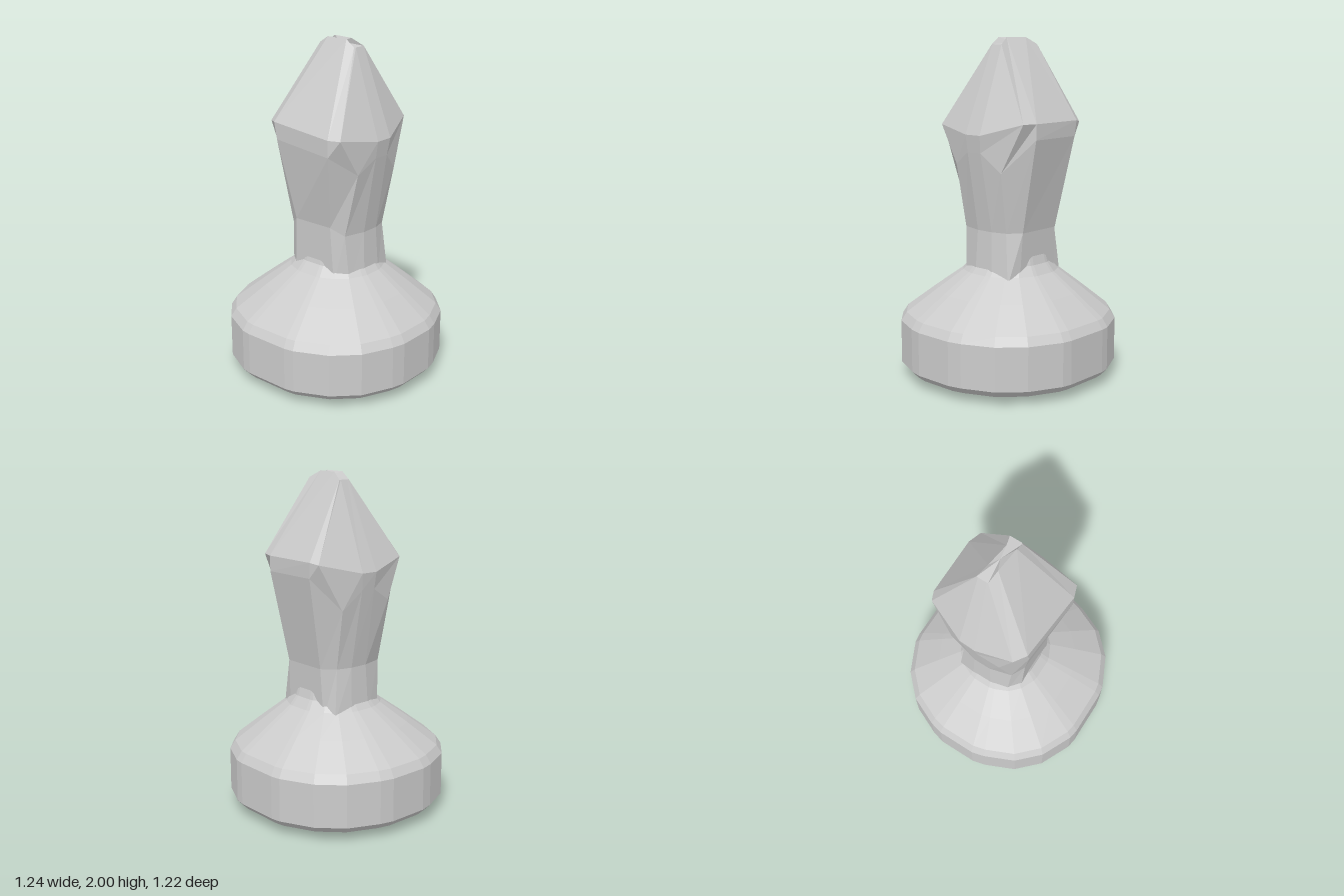
import * as THREE from 'three';

// Skin a stack of equal-length rings (bottom to top) and close both ends.
// Each ring runs from +x through +z, -x and -z.
function loft(rings) {
  const pos = [];
  const tri = (a, b, c) => pos.push(...a, ...b, ...c);
  const n = rings[0].length;
  for (let r = 0; r < rings.length - 1; r++) {
    for (let i = 0; i < n; i++) {
      const j = (i + 1) % n;
      const lo = rings[r], hi = rings[r + 1];
      tri(lo[i], hi[i], lo[j]);
      tri(hi[i], hi[j], lo[j]);
    }
  }
  const centre = ring => [0, 1, 2].map(k => ring.reduce((s, p) => s + p[k], 0) / n);
  const first = rings[0], last = rings[rings.length - 1];
  const c0 = centre(first), c1 = centre(last);
  for (let i = 0; i < n; i++) {
    const j = (i + 1) % n;
    tri(c0, first[i], first[j]);
    tri(c1, last[j], last[i]);
  }
  const geo = new THREE.BufferGeometry();
  geo.setAttribute('position', new THREE.Float32BufferAttribute(pos, 3));
  geo.computeVertexNormals();
  return geo;
}

export function createModel() {
  const model = new THREE.Group();
  const material = new THREE.MeshStandardMaterial({ color: 0xcccccc, flatShading: true });
  const add = (name, rings) => {
    const mesh = new THREE.Mesh(loft(rings), material);
    mesh.name = name;
    model.add(mesh);
  };

  // Base: one quarter of the rounded outline, mirrored, then scaled by height
  const quarter = [[0.62, 0.12], [0.6, 0.2], [0.52, 0.38], [0.39, 0.51], [0.2, 0.6], [0.14, 0.61]];
  const back = [...quarter].reverse();
  const outline = [
    ...quarter,
    ...back.map(([x, z]) => [-x, z]),
    ...quarter.map(([x, z]) => [-x, -z]),
    ...back.map(([x, z]) => [x, -z]),
  ];
  // [scale, height, shift in z]
  const profile = [
    [0.04, 0, 0], [0.35, 0.015, 0], [0.94, 0.05, 0], [1, 0.09, 0], [1, 0.345, 0], [0.95, 0.395, 0],
    [0.68, 0.53, -0.01], [0.44, 0.645, -0.02], [0.37, 0.7, -0.025], [0.34, 0.77, -0.025],
  ];
  add('base', profile.map(([s, y, dz]) => outline.map(([x, z]) => [x * s, y, z * s + dz])));

  // Stalk and faceted head share twelve columns:
  // right, front corner, front pair, corner, left pair, corner, back pair, corner, right
  const foot = [
    [0.25, 0.6, 0.03], [0.22, 0.6, 0.13], [0.15, 0.6, 0.19], [-0.15, 0.6, 0.19],
    [-0.22, 0.6, 0.13], [-0.25, 0.6, 0.03], [-0.25, 0.6, -0.1], [-0.23, 0.6, -0.21],
    [-0.15, 0.6, -0.23], [0.15, 0.6, -0.23], [0.23, 0.6, -0.21], [0.25, 0.6, -0.1],
  ];
  const waist = [
    [0.235, 0.9, 0.02], [0.2, 0.9, 0.15], [0.13, 0.95, 0.2], [-0.13, 0.95, 0.2],
    [-0.2, 0.9, 0.15], [-0.235, 0.9, 0.02], [-0.235, 0.9, -0.09], [-0.21, 0.9, -0.18],
    [-0.14, 0.9, -0.245], [0.14, 0.9, -0.245], [0.21, 0.9, -0.18], [0.235, 0.9, -0.09],
  ];
  const jaw = [
    [0.315, 1.36, 0.02], [0.285, 1.28, 0.14], [0.2, 1.4, 0.298], [-0.21, 1.43, 0.27],
    [-0.3, 1.28, 0.13], [-0.322, 1.36, 0], [-0.32, 1.36, -0.09], [-0.28, 1.25, -0.2],
    [-0.18, 1.44, -0.355], [0.16, 1.44, -0.36], [0.275, 1.25, -0.2], [0.315, 1.36, -0.08],
  ];
  const brow = [
    [0.33, 1.46, 0.02], [0.27, 1.5, 0.275], [0.2, 1.5, 0.3], [-0.23, 1.53, 0.27],
    [-0.3, 1.52, 0.22], [-0.34, 1.46, 0], [-0.335, 1.46, -0.1], [-0.24, 1.52, -0.34],
    [-0.19, 1.53, -0.36], [0.16, 1.53, -0.362], [0.24, 1.53, -0.335], [0.33, 1.46, -0.09],
  ];
  const crown = [
    [0.14, 1.96, -0.01], [0.135, 1.96, 0], [0.08, 2, 0], [-0.07, 2, -0.015],
    [-0.14, 1.96, -0.03], [-0.14, 1.96, -0.04], [-0.14, 1.96, -0.09], [-0.14, 1.96, -0.1],
    [-0.07, 2, -0.075], [0.07, 2, -0.055], [0.14, 1.96, -0.08], [0.14, 1.96, -0.07],
  ];
  add('stalk', [foot, waist, jaw]);
  add('head', [jaw, brow, crown]);

  return model;
}
